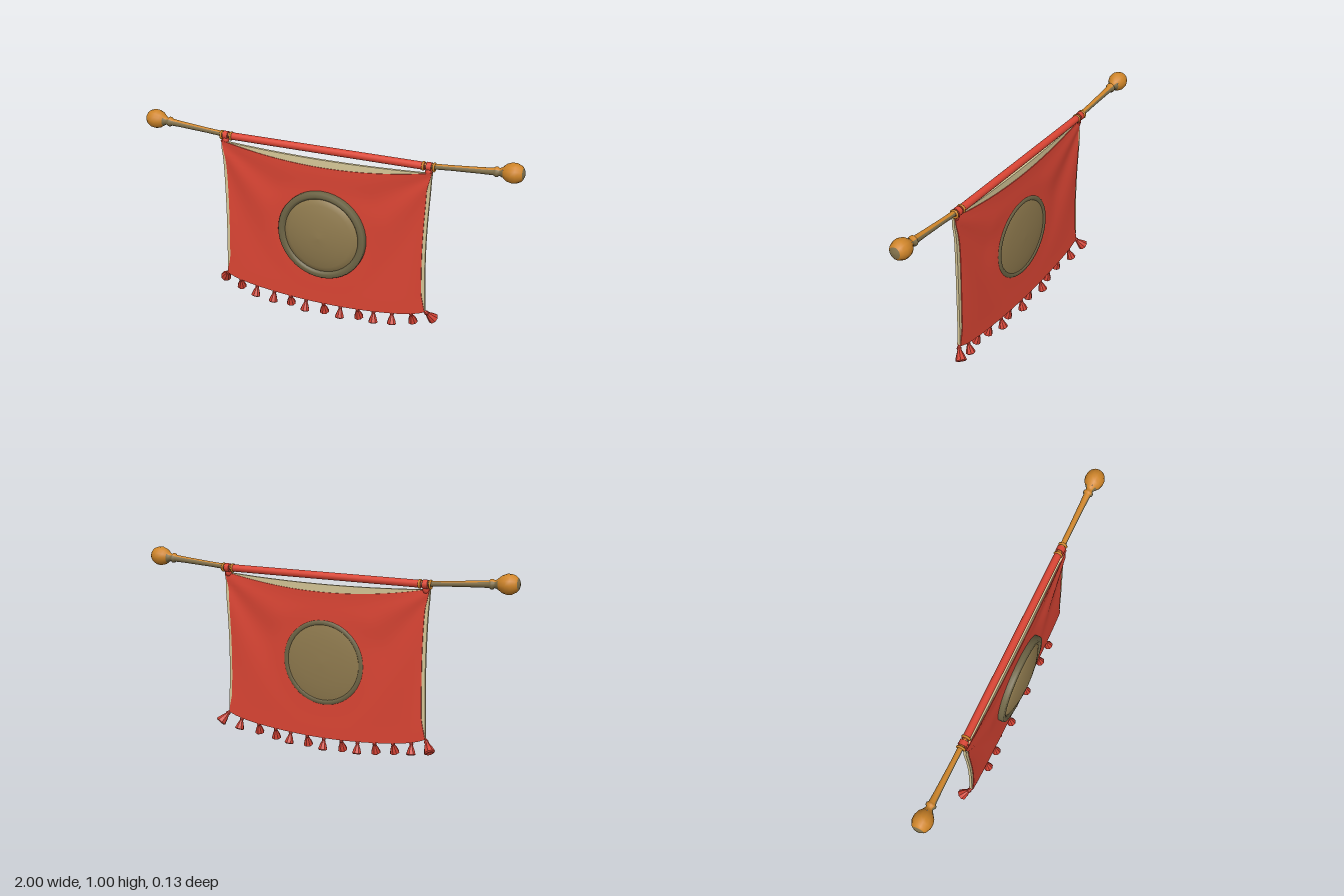
import * as THREE from 'three';

const mat = (name, color, opts = {}) => {
  const m = new THREE.MeshStandardMaterial({ color, ...opts });
  m.name = name;
  return m;
};

export function createModel() {
  const red = mat('red cloth', 0xdb4534);
  const redFacet = mat('red tassel', 0xd04032, { flatShading: true });
  const cream = mat('cream lining', 0xd6c797);
  const bronze = mat('bronze', 0x8f7a4e);
  const darkBronze = mat('dark bronze', 0x6e6546);
  const amber = mat('amber wood', 0xcf8529);
  const olive = mat('olive wood', 0x81704a);

  const model = new THREE.Group();
  const add = (name, geo, material, parent = model) => {
    const mesh = new THREE.Mesh(geo, material);
    mesh.name = name;
    parent.add(mesh);
    return mesh;
  };
  const v2 = (pts) => pts.map(([x, y]) => new THREE.Vector2(x, y));
  const lathe = (pts, sides, start = 0, len = Math.PI * 2) =>
    new THREE.LatheGeometry(v2(pts), sides, start, len);

  // Cloth slab: a fine box reshaped into a sagging, gently folded sheet
  const discY = 0.47;
  const cloth = (sag, inset, thick, trim) => {
    const g = new THREE.BoxGeometry(2, 1, 1, 56, 36, 1);
    const p = g.attributes.position;
    for (let i = 0; i < p.count; i++) {
      const u = p.getX(i), v = 0.5 - p.getY(i), side = p.getZ(i);
      const edge = Math.min(1, 8 * Math.min(v, 1 - v));
      const x = u * (0.562 - 0.008 * v - 0.012 * Math.sin(Math.PI * v) - inset * edge);
      const bow = 1 - u * u;
      const top = 0.895 - sag * bow - trim;
      const bottom = 0.122 - 0.052 * bow + 0.018 * Math.pow(Math.abs(u), 10) + trim;
      const y = top + (bottom - top) * v;
      const calm = THREE.MathUtils.smoothstep(Math.hypot(x, y - discY), 0.22, 0.36);
      // folds fan out from the two upper corners
      const fan = Math.atan2(0.9 - y, 0.6 - Math.abs(x));
      const z = 0.005 * calm * Math.sin(fan * 9) * Math.sin(Math.PI * Math.min(1, v + 0.1));
      p.setXYZ(i, x, y, z + side * thick);
    }
    g.computeVertexNormals();
    return g;
  };
  add('bannerCloth', cloth(0.063, 0.017, 0.022, 0), red);
  add('bannerLining', cloth(0.02, 0, 0.014, 0.004), cream);

  // Round shield: raised rim, domed front and shallower domed back
  const shield = new THREE.Group();
  shield.name = 'shield';
  shield.position.y = discY;
  model.add(shield);
  const disc = (name, pts, m) => add(name, lathe(pts, 48).rotateX(Math.PI / 2), m, shield);
  disc('shieldRim', [[0.196, -0.012], [0.2, -0.017], [0.214, -0.017], [0.222, -0.008], [0.234, 0.004],
    [0.237, 0.012], [0.237, 0.034], [0.232, 0.041], [0.214, 0.043], [0.205, 0.039], [0.198, 0.03]], darkBronze);
  disc('shieldFrontDome', [[0.204, 0.026], [0.195, 0.037], [0.17, 0.047], [0.12, 0.059], [0.06, 0.067], [0, 0.07]], bronze);
  disc('shieldBackDome', [[0, -0.027], [0.06, -0.026], [0.12, -0.022], [0.17, -0.017], [0.2, -0.011]], bronze);

  // Crossbar: red middle, then a tapered handle and knob on each end
  const bar = new THREE.Group();
  bar.name = 'crossbar';
  bar.position.set(0, 0.917, -0.012);
  model.add(bar);
  add('redBar', new THREE.CylinderGeometry(0.019, 0.019, 1.04, 16).rotateZ(Math.PI / 2), red, bar);

  const shaft = [[0.014, 0], [0.0135, 0.15], [0.016, 0.3], [0.018, 0.355], [0.025, 0.362],
    [0.025, 0.372], [0.018, 0.38], [0.021, 0.39], [0.03, 0.402]];
  const knob = [[0.03, 0.402], [0.042, 0.418], [0.049, 0.44], [0.048, 0.462], [0.038, 0.484], [0.028, 0.493]];
  const cap = [[0.028, 0.493], [0.016, 0.499], [0, 0.501]];
  for (const s of [1, -1]) {
    const end = new THREE.Group();
    end.name = s > 0 ? 'leftBarEnd' : 'rightBarEnd';
    end.rotation.y = s > 0 ? 0 : Math.PI;
    bar.add(end);

    const handle = new THREE.Group();
    handle.name = 'handle';
    handle.position.x = 0.5;
    handle.rotation.z = 0.073;
    end.add(handle);
    const turn = (name, g, m) => add(name, g.rotateZ(-Math.PI / 2), m, handle);
    const start = Math.PI * 1.5 - 0.85;
    turn('shaftTop', lathe(shaft, 5, start, 1.7), amber);
    turn('shaftUnderside', lathe(shaft, 12, start + 1.7, Math.PI * 2 - 1.7), olive);
    turn('knob', lathe(knob, 14), amber);
    turn('knobCap', lathe(cap, 14), olive);

    // bindings that hold the cloth corner
    for (const x of [0.512, 0.566]) {
      add('bindingRing', new THREE.TorusGeometry(0.018, 0.006, 8, 16).rotateY(Math.PI / 2), amber, end)
        .position.x = x;
    }
    add('clothLoop', new THREE.CylinderGeometry(0.022, 0.022, 0.026, 14).rotateZ(Math.PI / 2), red, end)
      .position.x = 0.541;
    const knot = add('cornerKnot', new THREE.SphereGeometry(0.018, 12, 8), red, end);
    knot.position.set(0.541, -0.026, s * 0.008);
    knot.scale.set(1, 1.3, 0.9);
  }

  // Tassels along the lower hem, swinging alternately forward and back
  const tasselGeo = lathe([[0, -0.062], [0.018, -0.067], [0.025, -0.062], [0.019, -0.042], [0.009, -0.018],
    [0.011, -0.01], [0.006, 0], [0, 0.005]], 8);
  const hem = [[0, 0.071], [0.097, 0.073], [0.19, 0.078], [0.28, 0.086], [0.38, 0.1], [0.48, 0.115], [0.555, 0.138]];
  const swing = [0.25, -0.3, 0.3, -0.25, -0.3, 0.35, 0.62];
  hem.forEach(([x, y], i) => {
    for (const s of i ? [1, -1] : [1]) {
      const tassel = add('tassel', tasselGeo, redFacet);
      tassel.position.set(s * x, y, 0);
      tassel.rotation.set(swing[i], 0, s * (i === 6 ? 0.5 : 0.02 * i));
      if (i === 6) tassel.scale.setScalar(1.15);
    }
  });

  return model;
}
